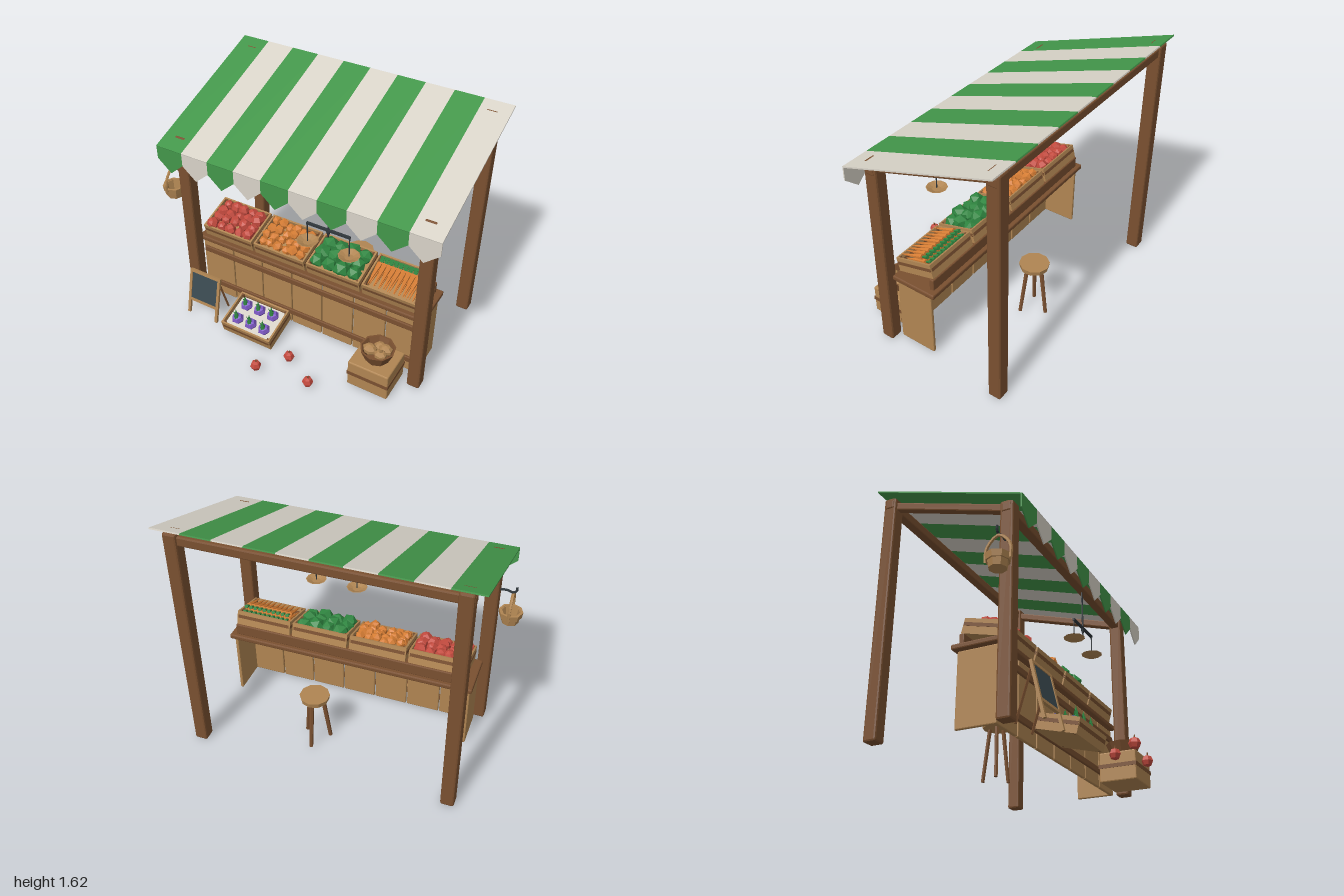
import * as THREE from 'three';
import { RoundedBoxGeometry } from 'three/addons/geometries/RoundedBoxGeometry.js';

const mat = (name, color) => {
  const m = new THREE.MeshStandardMaterial({ color });
  m.name = name;
  return m;
};
const DARK = mat('dark wood', 0x7a5030);
const LIGHT = mat('light wood', 0xb08552);
const GREEN = mat('awning green', 0x43964a);
const CREAM = mat('cream cloth', 0xd8d3c8);
const RED = mat('apple red', 0xc34a3e);
const ORANGE = mat('orange', 0xd67d34);
const LEAF = mat('leaf green', 0x2f8540);
const PURPLE = mat('turnip purple', 0x7d58c4);
const SLATE = mat('slate', 0x3a4a50);
const IRON = mat('iron', 0x30373c);

const V = (x, y, z) => new THREE.Vector3(x, y, z);
let seed = 7;
const rand = (a, b) => {
  seed = (seed * 16807) % 2147483647;
  return a + (b - a) * seed / 2147483647;
};

// faceted mesh placed in a parent
function add(parent, name, geo, material, x = 0, y = 0, z = 0) {
  const g = geo.index ? geo.toNonIndexed() : geo;
  g.computeVertexNormals();
  const m = new THREE.Mesh(g, material);
  m.name = name;
  m.position.set(x, y, z);
  parent.add(m);
  return m;
}
const box = (p, name, m, w, h, d, x, y, z) => add(p, name, new THREE.BoxGeometry(w, h, d), m, x, y, z);
const beam = (p, name, m, w, h, d, x, y, z, r = 0.012) =>
  add(p, name, new RoundedBoxGeometry(w, h, d, 1, r), m, x, y, z);
// rod between two points
function rod(p, name, m, a, b, r, r2 = r, n = 6) {
  const c = a.clone().add(b).multiplyScalar(0.5);
  const mesh = add(p, name, new THREE.CylinderGeometry(r2, r, a.distanceTo(b), n), m, c.x, c.y, c.z);
  mesh.quaternion.setFromUnitVectors(V(0, 1, 0), b.clone().sub(a).normalize());
  return mesh;
}
function group(parent, name, x = 0, y = 0, z = 0) {
  const g = new THREE.Group();
  g.name = name;
  g.position.set(x, y, z);
  parent.add(g);
  return g;
}
// hollow faceted vessel with its base at y = 0
function vessel(p, name, m, rb, rt, h, n, x, y, z, t = 0.012) {
  const pts = [[0, 0], [rb, 0], [rt, h], [rt - t, h], [rb - t, t / 2], [0, t / 2]];
  return add(p, name, new THREE.LatheGeometry(pts.map(q => new THREE.Vector2(...q)), n), m, x, y, z);
}
// slatted tray, 0.385 wide, tilted toward the front
function crate(parent, name, x, y, z) {
  const g = group(parent, name, x, y, z), w = 0.385, d = 0.27, h = 0.095;
  g.rotation.x = 0.26;
  box(g, 'crateFloor', LIGHT, w - 0.01, 0.012, d - 0.01, 0, 0.006, 0);
  for (const s of [-1, 1]) {
    box(g, 'crateSide', LIGHT, 0.012, h, d, s * (w / 2 - 0.008), h / 2, 0);
    box(g, 'crateSideBand', DARK, 0.016, 0.022, d - 0.004, s * (w / 2 - 0.008), 0.058, 0);
    box(g, 'crateEnd', LIGHT, w - 0.02, h, 0.012, 0, h / 2, s * (d / 2 - 0.006));
    box(g, 'crateEndBand', DARK, w - 0.02, 0.022, 0.016, 0, 0.058, s * (d / 2 - 0.006));
    for (const e of [-1, 1]) box(g, 'cratePost', DARK, 0.014, h, 0.014, s * (w / 2 - 0.02), h / 2, e * (d / 2 - 0.018));
  }
  return g;
}
// rows of jittered produce
function fill(g, name, m, cols, rows, r, y, makeGeo) {
  for (let i = 0; i < cols; i++) for (let j = 0; j < rows; j++) {
    const k = rand(0.9, 1.1);
    const f = add(g, name, makeGeo(r * k), m,
      (i - (cols - 1) / 2) * 0.34 / cols + rand(-0.008, 0.008), y + rand(-0.012, 0.014),
      (j - (rows - 1) / 2) * 0.23 / rows + rand(-0.006, 0.006));
    f.rotation.set(rand(0, 3), rand(0, 3), rand(0, 3));
  }
}

export function createModel() {
  const root = new THREE.Group();
  root.name = 'marketStall';
  const X0 = 0.045;

  // posts, beams and rafters
  const frame = group(root, 'frame', X0);
  for (const s of [-1, 1]) {
    beam(frame, 'frontPost', DARK, 0.086, 1.328, 0.086, s * 0.845, 0.664, 0.21);
    beam(frame, 'backPost', DARK, 0.086, 1.595, 0.086, s * 0.845, 0.7975, -0.62);
    const r = beam(frame, 'rafter', DARK, 0.05, 0.05, 0.86, s * 0.845, 1.418, -0.205, 0.008);
    r.rotation.x = 0.308;
  }
  beam(frame, 'frontBeam', DARK, 1.785, 0.06, 0.06, 0, 1.283, 0.21, 0.008);
  beam(frame, 'backBeam', DARK, 1.785, 0.06, 0.06, 0, 1.548, -0.62, 0.008);

  // striped awning with pointed valance
  const awning = group(root, 'awning', X0), sw = 0.1912;
  for (let i = 0; i < 10; i++) {
    const m = i % 2 ? CREAM : GREEN, x = (i - 4.5) * sw;
    box(awning, 'awningStripe', m, sw, 0.009, 1.067, x, 1.452, -0.1625).rotation.x = 0.3126;
    const s = new THREE.Shape();
    s.moveTo(-sw / 2, 1.289);
    s.lineTo(-sw / 2, 1.2);
    s.lineTo(0, 1.115);
    s.lineTo(sw / 2, 1.2);
    s.lineTo(sw / 2, 1.289);
    add(awning, 'valance', new THREE.ExtrudeGeometry(s, { depth: 0.008, bevelEnabled: false }), m, x, 0, 0.337);
  }

  // counter, open at the back
  const counter = group(root, 'counter', X0);
  for (let i = 0; i < 7; i++)
    beam(counter, 'frontPanel', LIGHT, 0.224, 0.455, 0.022, (i - 3) * 0.232, 0.235, 0.128, 0.006);
  for (const s of [-1, 1]) beam(counter, 'sidePanel', LIGHT, 0.022, 0.455, 0.255, s * 0.812, 0.235, 0.0125, 0.006);
  for (const y of [0.392, 0.113]) beam(counter, 'frontRail', DARK, 1.62, 0.042, 0.018, 0, y, 0.147, 0.005);
  beam(counter, 'counterTop', DARK, 1.68, 0.033, 0.315, 0, 0.489, 0.0075, 0.008);
  beam(counter, 'crateRest', DARK, 1.6, 0.08, 0.032, 0, 0.543, -0.107, 0.006);

  // display crates
  const ball = r => new THREE.SphereGeometry(r, 6, 4);
  const ico = r => new THREE.IcosahedronGeometry(r, 0);
  const crates = [-0.6, -0.2, 0.2, 0.6].map((x, i) => crate(root, 'displayCrate' + (i + 1), X0 + x, 0.555, 0.0125));
  fill(crates[0], 'apple', RED, 5, 4, 0.041, 0.088, ball);
  fill(crates[1], 'orangeFruit', ORANGE, 6, 4, 0.036, 0.09, ico);
  fill(crates[2], 'cabbage', LEAF, 4, 3, 0.056, 0.083, ico);
  for (let i = 0; i < 10; i++) for (let j = 0; j < 2; j++) {
    const x = (i - 4.5) * 0.033, y = 0.07 + j * 0.03, z = j * 0.02;
    rod(crates[3], 'carrot', ORANGE, V(x, y + 0.012, -0.07 + z), V(x + rand(-0.006, 0.006), y, 0.1 + z), 0.019, 0.002);
    rod(crates[3], 'carrotLeaf', LEAF, V(x, y + 0.012, -0.07 + z), V(x, y + 0.02, -0.115 + z), 0.006, 0.014, 5);
  }

  // turnip crate on the ground
  const low = crate(root, 'turnipCrate', -0.245, 0.045, 0.31);
  box(low, 'crateCloth', CREAM, 0.355, 0.006, 0.24, 0, 0.06, 0);
  for (const x of [-0.105, 0, 0.105]) for (const z of [-0.058, 0.058]) {
    add(low, 'turnip', ball(0.044), PURPLE, x, 0.085, z).scale.y = 0.85;
    const l = add(low, 'turnipLeaf', new THREE.ConeGeometry(0.018, 0.075, 5), LEAF, x, 0.145, z);
    l.rotation.x = -0.26;
    for (const s of [-1, 1]) {
      const side = add(low, 'turnipSideLeaf', new THREE.ConeGeometry(0.01, 0.055, 4), LEAF, x + s * 0.012, 0.135, z);
      side.rotation.z = -s * 0.4;
    }
  }

  // loose apples
  for (const [x, z] of [[-0.05, 0.63], [0.095, 0.455], [0.31, 0.58]]) {
    add(root, 'looseApple', ball(0.037), RED, x, 0.042, z).rotation.y = x * 5;
    rod(root, 'appleStem', DARK, V(x, 0.07, z), V(x + 0.006, 0.095, z), 0.005, 0.004, 5);
  }

  // wooden box with a bowl of loaves
  const chest = group(root, 'boxWithBowl', 0.655, 0, 0.31);
  beam(chest, 'box', LIGHT, 0.28, 0.195, 0.25, 0, 0.1025, 0, 0.008);
  box(chest, 'boxBand', DARK, 0.286, 0.026, 0.256, 0, 0.108, 0);
  vessel(chest, 'bowl', DARK, 0.08, 0.115, 0.085, 9, 0.003, 0.2, -0.005);
  for (const [x, y, z, r] of [[-0.045, 0.262, 0.01, 0.045], [0.045, 0.262, -0.03, 0.045], [0.04, 0.275, 0.035, 0.04], [0, 0.25, -0.05, 0.04]])
    add(chest, 'loaf', new THREE.SphereGeometry(r, 7, 5), LIGHT, x, y, z).scale.set(1.1, 0.85, 0.9);
  rod(chest, 'loafKnob', LIGHT, V(0.04, 0.3, 0.035), V(0.045, 0.335, 0.04), 0.013, 0.009);

  // chalkboard easel
  const board = group(root, 'chalkboard', -0.64, 0, 0.405);
  board.rotation.x = -0.23;
  for (const s of [-1, 1]) {
    box(board, 'boardSide', LIGHT, 0.02, 0.345, 0.018, s * 0.113, 0.174, 0);
    rod(board, 'boardStrut', DARK, V(s * 0.095, 0.32, -0.01), V(s * 0.095, 0.045, -0.17), 0.009, 0.009, 4);
  }
  for (const y of [0.337, 0.112]) box(board, 'boardRail', LIGHT, 0.22, 0.02, 0.018, 0, y, 0);
  box(board, 'slate', SLATE, 0.21, 0.21, 0.009, 0, 0.225, 0);

  // hanging balance
  const scale = group(root, 'balance', 0.24, 0, 0.21);
  rod(scale, 'hanger', IRON, V(0, 1.26, 0), V(0, 0.98, 0), 0.006);
  box(scale, 'balanceArm', IRON, 0.3, 0.014, 0.016, 0, 0.985, 0);
  rod(scale, 'pointer', IRON, V(0, 0.978, 0), V(0, 0.925, 0), 0.014, 0.001);
  for (const s of [-1, 1]) {
    rod(scale, 'panRod', IRON, V(s * 0.145, 0.985, 0), V(s * 0.145, 0.845, 0), 0.004);
    vessel(scale, 'pan', LIGHT, 0.035, 0.07, 0.018, 10, s * 0.145, 0.833, 0, 0.006);
  }

  // bucket basket on an iron hook
  const basket = group(root, 'hangingBasket', -0.925, 0, 0.21);
  vessel(basket, 'basketBody', LIGHT, 0.054, 0.068, 0.08, 8, 0, 0.828, 0);
  add(basket, 'basketRim', new THREE.LatheGeometry(
    [[0.06, 0.872], [0.071, 0.872], [0.077, 0.912], [0.062, 0.912], [0.06, 0.872]].map(p => new THREE.Vector2(...p)), 8), LIGHT);
  const arch = new THREE.CatmullRomCurve3([V(0, 0.88, -0.078), V(0, 0.97, -0.074), V(0, 1.042, 0), V(0, 0.97, 0.074), V(0, 0.88, 0.078)]);
  add(basket, 'basketHandle', new THREE.TubeGeometry(arch, 12, 0.01, 5), LIGHT);
  const hook = new THREE.CatmullRomCurve3([V(0.09, 1.055, 0), V(0.04, 1.06, 0), V(0, 1.05, 0), V(-0.018, 1.065, 0), V(-0.016, 1.095, 0)]);
  add(basket, 'hook', new THREE.TubeGeometry(hook, 12, 0.008, 5), IRON);

  // three-legged stool behind the counter
  const stool = group(root, 'stool', 0.17, 0, -0.387);
  add(stool, 'stoolSeat', new THREE.CylinderGeometry(0.098, 0.092, 0.033, 10), LIGHT, 0, 0.365, 0);
  for (let i = 0; i < 3; i++) {
    const a = i * Math.PI * 2 / 3, c = Math.sin(a), d = -Math.cos(a);
    rod(stool, 'stoolLeg', DARK, V(c * 0.095, 0.004, d * 0.095), V(c * 0.05, 0.355, d * 0.05), 0.013, 0.015);
  }
  return root;
}
